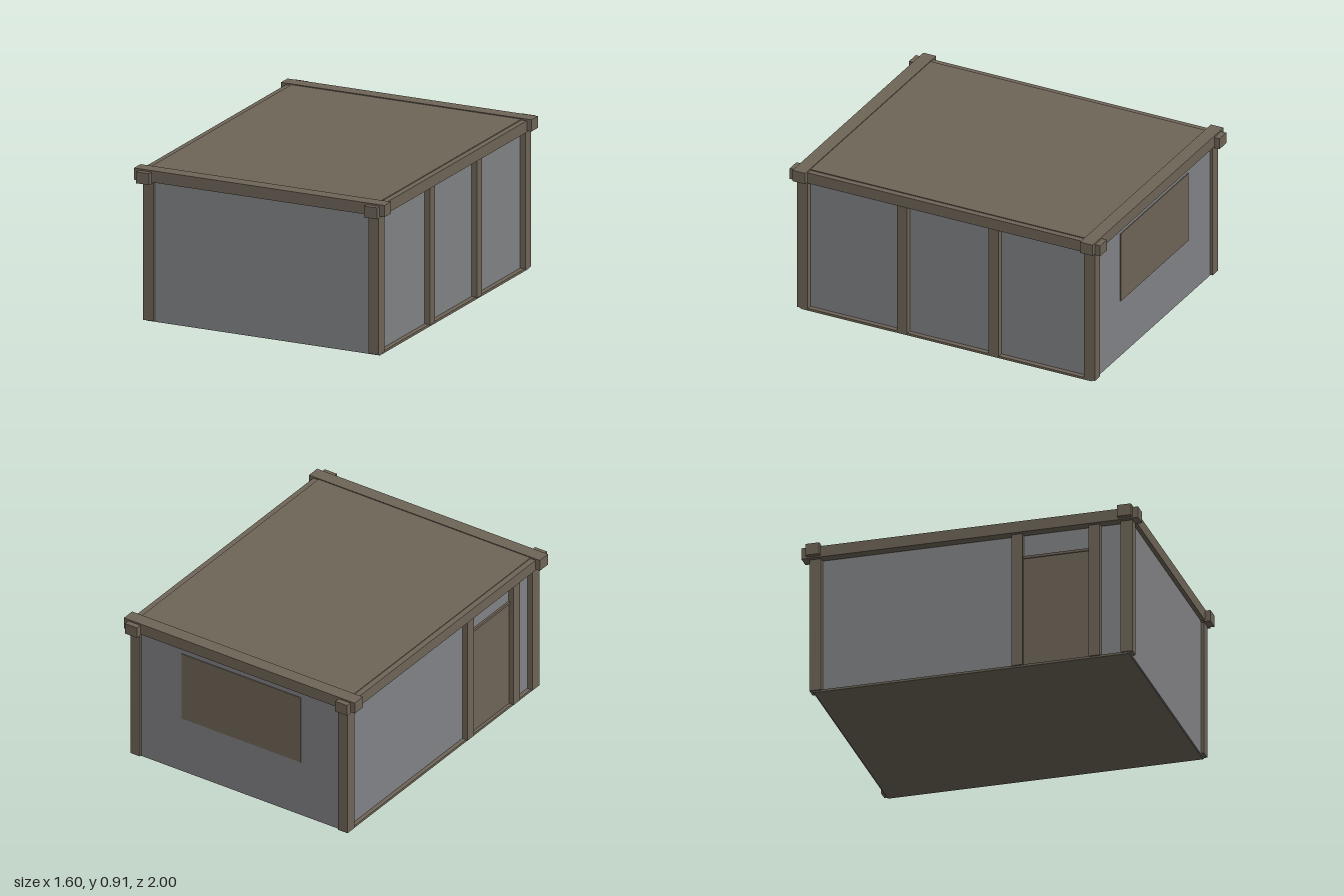
import * as THREE from 'three';

export function createModel() {
  const model = new THREE.Group();
  model.name = 'timberCabin';

  const timber = new THREE.MeshStandardMaterial({ color: 0x6f6558 });
  timber.name = 'brown timber';
  const wall = new THREE.MeshStandardMaterial({ color: 0x828386 });
  wall.name = 'grey wall';

  // Box given by its extents on each axis
  function block(name, material, [x0, x1], [y0, y1], [z0, z1]) {
    const mesh = new THREE.Mesh(new THREE.BoxGeometry(x1 - x0, y1 - y0, z1 - z0), material);
    mesh.position.set((x0 + x1) / 2, (y0 + y1) / 2, (z0 + z1) / 2);
    mesh.name = name;
    model.add(mesh);
  }

  const leftPostX = [0.695, 0.76];
  const rightPostX = [-0.745, -0.68];
  const postY = [0.01, 0.845];

  // Floor slab and roof panel
  block('floor', timber, [-0.735, 0.755], [0, 0.014], [-0.935, 0.935]);
  block('roof', timber, [-0.735, 0.735], [0.85, 0.905], [-0.9, 0.9]);

  // End walls
  block('frontWall', wall, [-0.737, 0.757], [0.004, 0.87], [0.91, 0.942]);
  block('backWall', wall, [-0.737, 0.757], [0.004, 0.87], [-0.942, -0.91]);

  // Side walls, set back behind the posts
  block('leftWall', wall, [0.7, 0.725], [0.008, 0.87], [-0.92, 0.92]);
  block('rightWall', wall, [-0.71, -0.685], [0.008, 0.87], [-0.92, 0.92]);

  // Corner posts
  for (const x of [leftPostX, rightPostX]) {
    block('frontCornerPost', timber, x, postY, [0.89, 0.96]);
    block('backCornerPost', timber, x, postY, [-0.96, -0.89]);
  }

  // Intermediate posts: an even pair on the left, door posts on the right
  for (const z of [[0.25, 0.315], [-0.34, -0.275]]) block('leftPost', timber, leftPostX, postY, z);
  for (const z of [[0.24, 0.305], [0.7, 0.765]]) block('doorPost', timber, rightPostX, postY, z);

  // Crossing ring beams with projecting ends
  for (const s of [-1, 1]) {
    const span = (a, b) => (s > 0 ? [a, b] : [-b, -a]);
    block('sideBeam', timber, span(0.687, 0.77), [0.832, 0.9], [-1, 1]);
    block('endBeam', timber, [-0.8, 0.8], [0.84, 0.91], span(0.885, 0.967));
  }

  // Door on the right side and window shutter on the back
  block('door', timber, [-0.716, -0.708], [0.014, 0.69], [0.3, 0.705]);
  block('doorLintel', timber, [-0.722, -0.7], [0.685, 0.7], [0.3, 0.705]);
  block('backWindow', timber, [-0.41, 0.415], [0.36, 0.795], [-0.947, -0.939]);

  return model;
}
